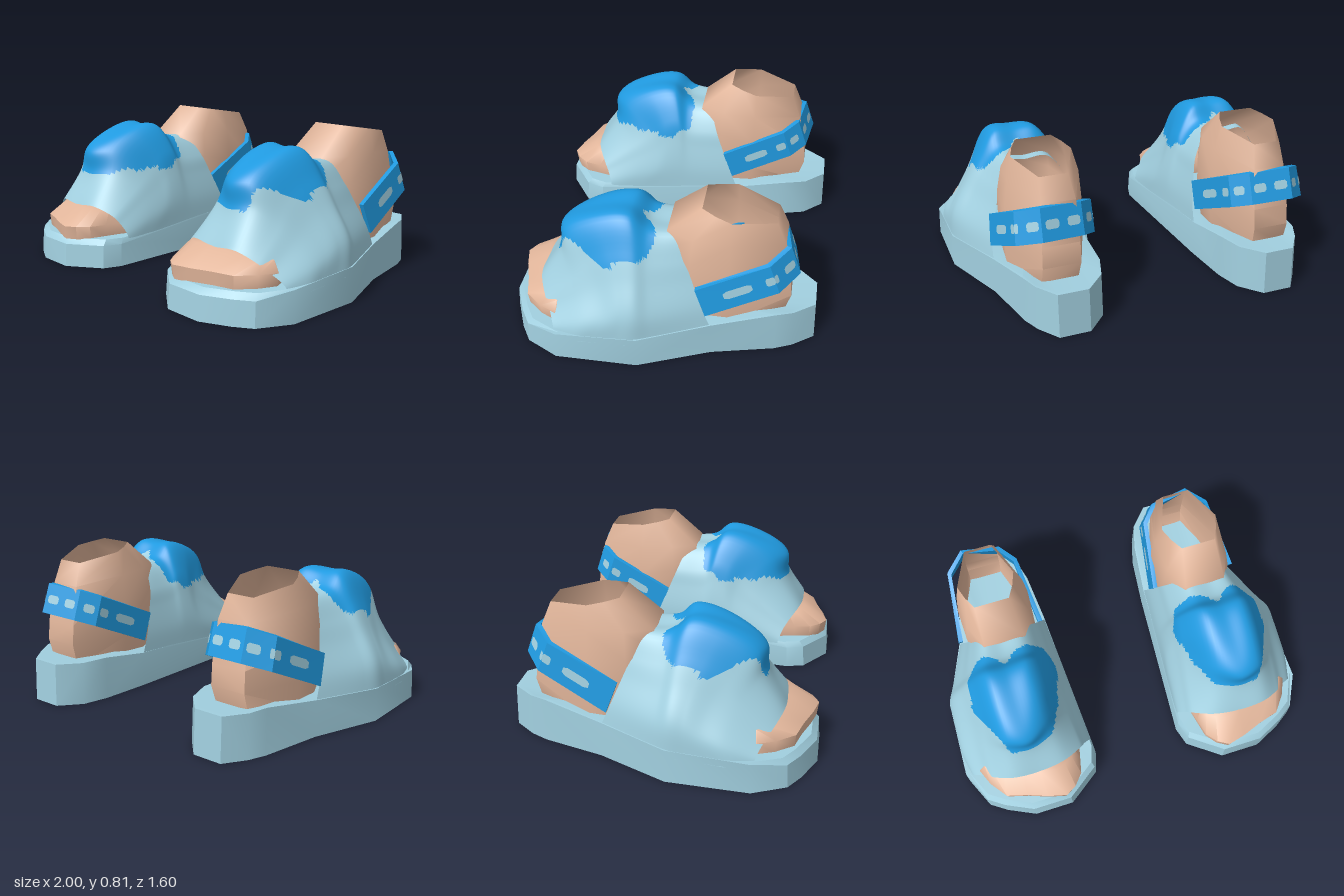
import * as THREE from 'three';
import { toCreasedNormals } from 'three/addons/utils/BufferGeometryUtils.js';

const paint = (name, color) => {
  const m = new THREE.MeshStandardMaterial({ color, side: THREE.DoubleSide });
  m.name = name;
  return m;
};
const V = (x, y, z) => new THREE.Vector3(x, y, z);
const lerp = THREE.MathUtils.lerp;

// Skin a grid of points; s = -1 mirrors it across x. keep() may select faces by centre.
function skin(grid, s, closed, keep) {
  const n = grid[0].length, pts = grid.flat(), index = [];
  const tri = (a, b, c) => {
    const [A, B, C] = [pts[a], pts[b], pts[c]];
    if (A.distanceTo(B) < 1e-5 || B.distanceTo(C) < 1e-5 || C.distanceTo(A) < 1e-5) return;
    index.push(...(s > 0 ? [a, b, c] : [a, c, b]));
  };
  for (let i = 0; i < grid.length - 1; i++) {
    for (let j = 0; j < (closed ? n : n - 1); j++) {
      const k = (j + 1) % n, a = i * n + j, b = i * n + k;
      tri(a, b, b + n);
      tri(a, b + n, a + n);
    }
  }
  const g = new THREE.BufferGeometry().setFromPoints(pts.map(p => V(p.x * s, p.y, p.z)));
  g.setIndex(index);
  g.computeVertexNormals();
  if (keep) {
    const kept = [];
    for (let i = 0; i < index.length; i += 3) {
      const f = index.slice(i, i + 3);
      const c = V(0, 0, 0);
      f.forEach(q => c.addScaledVector(pts[q], 1 / 3));
      if (keep(c)) kept.push(...f);
    }
    g.setIndex(kept);
  }
  return g;
}

// Sole outline (x, z), starting at the inner front and running to the outer side
const soleLine = [[.28, .67], [.46, .8], [.68, .8], [.83, .73], [.92, .67], [1, .5], [.99, .08], [.84, -.28],
  [.76, -.6], [.72, -.69], [.64, -.8], [.48, -.8], [.38, -.69], [.34, -.55], [.31, -.28], [.25, .57]];
const soleHeight = z => z > .54 ? .125 : z > -.3 ? lerp(.16, .195, (.5 - z) / .78)
  : z > -.65 ? lerp(.195, .243, (-.28 - z) / .32) : .235;

function soleGrid() {
  const ring = (k, y) => soleLine.map(([x, z]) => V(lerp(.6, x, k), y(z), z * k));
  return [ring(0, () => 0), ring(1, () => 0), ring(.987, soleHeight),
    ring(.95, z => Math.max(soleHeight(z), .155)), ring(0, () => .17)];
}

// Upper: arched sections from toe opening to collar
// [z at bottom, z at top, y bottom, y top, outer x, inner x, boxiness, backward bend of the flanks]
const sections = [
  [.5, .63, .11, .315, .97, .26, .25, .1],
  [.4, .53, .125, .49, .992, .268, .1, .3],
  [.32, .515, .13, .61, .992, .273, 0, .5],
  [.2, .33, .135, .715, .988, .281, 0, .28],
  [.1, .16, .14, .742, .984, .288, 0, .1],
  [0, .06, .15, .67, .95, .295, .08, 0],
  [-.28, -.08, .165, .655, .835, .314, .2, 0],
];
const archHeight = [0, .28, .55, .75, .985];
const archOuter = [1, .94, .7, .52, .25];
const archInner = [1, .96, .84, .72, .4];

function upperGrid() {
  const net = sections.map(([zb, zt, yb, yt, xo, xi, box, bend]) => {
    const at = (edge, w, v) => V(.61 + (edge - .61) * (w + (1 - w) * box * Math.min(1, 2.5 - 2 * v)),
      lerp(yb, yt, v), lerp(zb, zt, v) - bend * v * w * w);
    const inner = archHeight.map((v, i) => at(xi, archInner[i], v));
    const outer = archHeight.map((v, i) => at(xo, archOuter[i], v)).reverse();
    return [...inner, V(.595, yt - .01, zt), ...outer];
  });
  const across = net.map(row => new THREE.CatmullRomCurve3(row).getPoints(70));
  const along = across[0].map((_, j) => new THREE.CatmullRomCurve3(across.map(r => r[j])).getPoints(70));
  return along[0].map((_, i) => along.map(c => c[i]));
}

// Heart patch: lobes outlined from above (x, z), front bounded by a level line
const lobes = [[.595, .115], [.54, .04], [.47, .02], [.38, .03], [.34, .14], [.34, .3],
  [.83, .3], [.83, .2], [.82, .09], [.76, .03], [.71, .02], [.65, .045]];
function inHeart(p) {
  if (p.z > .22) return p.y > .51 - .12 * (p.z - .22) && Math.abs(p.x - .59) < .25 - .5 * (p.z - .25);
  let inside = false;
  lobes.forEach(([x, z], i) => {
    const [u, w] = lobes[(i + 1) % lobes.length];
    if ((z > p.z) !== (w > p.z) && p.x < x + (u - x) * (p.z - z) / (w - z)) inside = !inside;
  });
  return inside && p.y > .49;
}

// Ankle rings: [y front, y side, y back, z front, z back, inner x, outer x, bulge beside the instep]
const ankle = [
  [.17, .17, .17, -.04, -.62, .39, .78, .02],
  [.35, .31, .31, -.03, -.66, .37, .785, .03],
  [.56, .48, .42, -.02, -.65, .37, .78, .03],
  [.66, .66, .63, -.03, -.61, .385, .755, .025],
  [.81, .785, .75, -.2, -.56, .42, .73, .005],
];
const ankleGrid = () => ankle.map(([yf, ys, yb, zf, zb, xi, xo, bulge]) => {
  const x = t => lerp(xi, xo, t), ym = (yf + ys) / 2, zm = (zf - .35) / 2 + bulge;
  return [V(x(.2), yf, zf), V(x(.8), yf, zf), V(x(.9) + bulge, ym, zm), V(xo, ys, -.35),
    V(x(.73), yb, zb), V(x(.26), yb, zb), V(xi, ys, -.35), V(x(.1) - bulge, ym, zm)];
});

// Toes peeking out of the front opening
const toeLine = [[.35, .6], [.37, .69], [.42, .75], [.48, .785], [.58, .76], [.69, .72], [.8, .69], [.87, .6],
  [.91, .51], [.86, .4], [.31, .42]];
function toeGrid() {
  const ring = (kx, kz, y) => toeLine.map(([x, z]) => V(lerp(.6, x, kx), y(x), lerp(.5, z, kz)));
  return [ring(.97, .97, () => .15), ring(1, 1, () => .222),
    ring(.88, .52, x => .312 - .09 * Math.abs(x - .52)), ring(0, 0, () => .31)];
}

// Heel strap path (x, z of the upper edge), from outer end round the heel to inner end
const strapLine = [[.8, -.19], [.755, -.53], [.66, -.615], [.47, -.585], [.4, -.51], [.36, -.18]];
function strapPoint(i, across, out) {
  const [x, z] = strapLine[i];
  const d = new THREE.Vector2((x - .59) * 1.3, i % 5 ? z + .35 : 0).normalize();
  const flare = x > .59 ? out + across * .015 : out;
  return V(x + d.x * flare, .42 + (-.2 - z) * .5 - across * .155, z + d.y * out - across * .055);
}
const strapGrid = () => strapLine.map((_, i) =>
  [[0, 0], [0, .025], [1, .025], [1, 0]].map(([a, o]) => strapPoint(i, a, o)));

// Strap dashes: [path segment, start, end]
const dashes = [[0, .32, .7], [0, .88, 1], [1, 0, .15], [1, .45, .9], [2, .1, .42], [2, .62, .92],
  [3, .3, .8], [4, .03, .18], [4, .34, .7]];
function dashGrid([seg, t0, t1]) {
  const at = (t, a) => strapPoint(seg, a, .028).lerp(strapPoint(seg + 1, a, .028), t);
  return [[0, .08], [.15, .14], [.85, .14], [1, .08]].map(([k, h]) =>
    [at(lerp(t0, t1, k), .5 + h), at(lerp(t0, t1, k), .5 - h)]);
}

function createShoe(s, mats) {
  const shoe = new THREE.Group();
  shoe.name = s > 0 ? 'leftShoe' : 'rightShoe';
  const add = (name, geometry, material) => {
    const mesh = new THREE.Mesh(geometry, material);
    mesh.name = name;
    shoe.add(mesh);
  };
  const crease = (grid, angle) => toCreasedNormals(skin(grid, s, true), angle);
  const upper = upperGrid();
  add('sole', crease(soleGrid(), .5), mats.pale);
  add('upper', skin(upper, s, false, p => !inHeart(p)), mats.pale);
  add('heartPatch', skin(upper, s, false, inHeart), mats.blue);
  add('ankle', crease(ankleGrid(), 1.2), mats.flesh);
  add('toes', crease(toeGrid(), 1), mats.flesh);

  // strap with closed ends
  const strap = strapGrid();
  const cap = row => row.map(() => row[0].clone().add(row[2]).multiplyScalar(.5));
  add('heelStrap', crease([cap(strap[0]), ...strap, cap(strap[strap.length - 1])], .3), mats.blue);
  dashes.forEach(d => add('strapDash', skin(dashGrid(d), s, false), mats.pale));
  return shoe;
}

export function createModel() {
  const mats = {
    pale: paint('paleBlue', 0xa1cfdf),
    blue: paint('brightBlue', 0x209ae0),
    flesh: paint('skin', 0xe2b69b),
  };
  const model = new THREE.Group();
  model.name = 'sandalPair';
  model.add(createShoe(1, mats), createShoe(-1, mats));
  return model;
}
